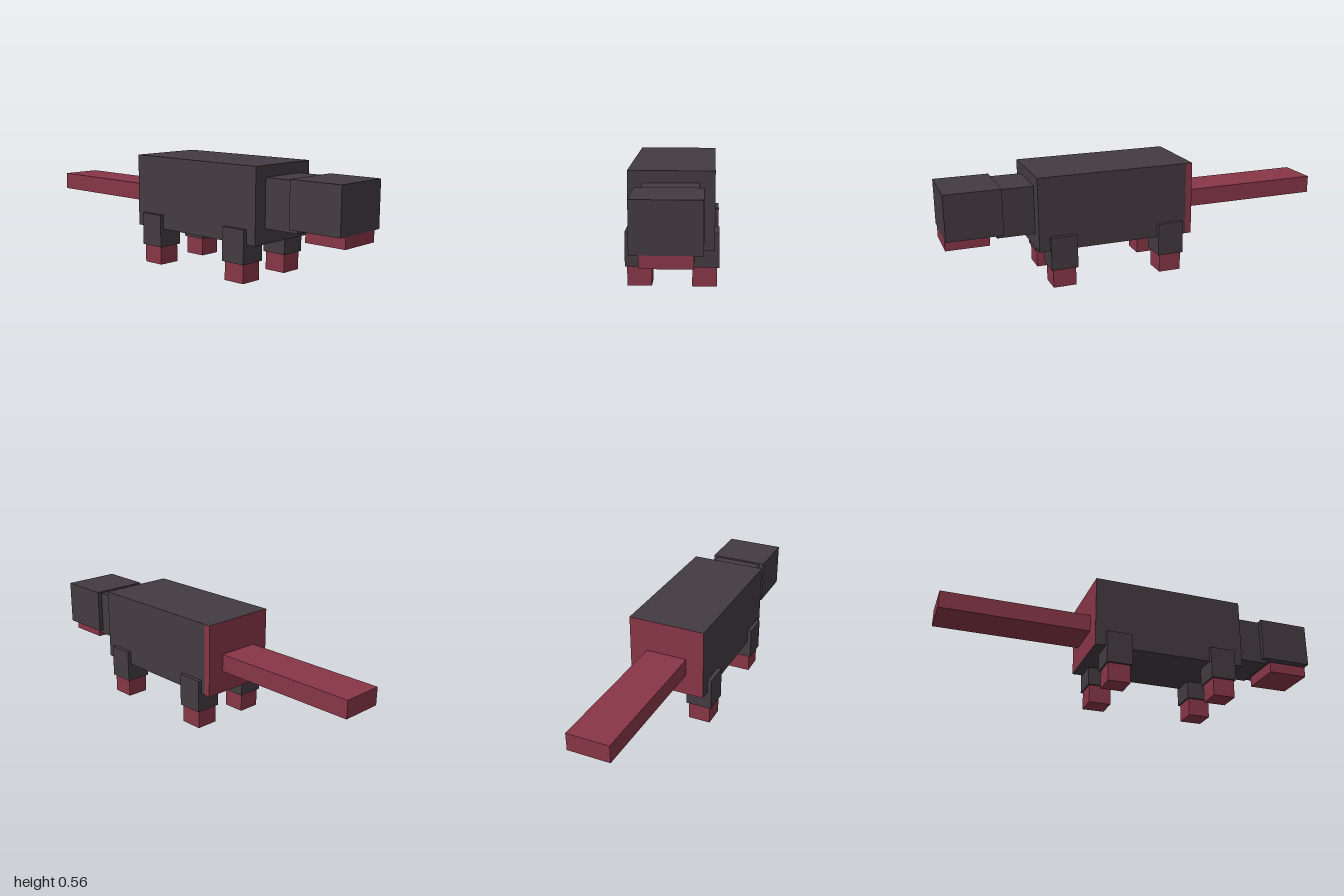
import * as THREE from 'three';

const dark = new THREE.MeshStandardMaterial({ color: 0x433b41 });
dark.name = 'charcoal';
const red = new THREE.MeshStandardMaterial({ color: 0x883647 });
red.name = 'crimson';

// Box given by its extents along each axis
function block(name, [x0, x1], [y0, y1], [z0, z1], material) {
  const mesh = new THREE.Mesh(new THREE.BoxGeometry(x1 - x0, y1 - y0, z1 - z0), material);
  mesh.position.set((x0 + x1) / 2, (y0 + y1) / 2, (z0 + z1) / 2);
  mesh.name = name;
  return mesh;
}

export function createModel() {
  const model = new THREE.Group();
  model.name = 'blockAnimal';

  // Body, with a rump that is red behind and on its left side
  model.add(
    block('body', [-0.2, 0.2], [0.188, 0.559], [-0.206, 0.566], dark),
    block('rump', [-0.2, 0.2], [0.188, 0.559], [-0.239, -0.206], [red, dark, dark, dark, dark, red]),
    block('tail', [-0.108, 0.108], [0.3, 0.39], [-1, -0.23], red)
  );

  // Neck, head and lower jaw
  model.add(
    block('neck', [-0.129, 0.129], [0.262, 0.503], [0.55, 0.754], dark),
    block('head', [-0.153, 0.153], [0.281, 0.511], [0.725, 1], dark),
    block('jaw', [-0.113, 0.113], [0.225, 0.281], [0.786, 1], red)
  );

  // Four legs, each a dark thigh over a narrower red foot
  for (const [end, z] of [['front', 0.446], ['back', -0.117]]) {
    for (const [side, s] of [['Left', 1], ['Right', -1]]) {
      const x = s * 0.153;
      const leg = new THREE.Group();
      leg.name = end + side + 'Leg';
      leg.add(
        block('thigh', [x - 0.068, x + 0.068], [0.094, 0.261], [z - 0.067, z + 0.067], dark),
        block('foot', [x - 0.058, x + 0.058], [0, 0.094], [z - 0.058, z + 0.058], red)
      );
      model.add(leg);
    }
  }
  return model;
}
